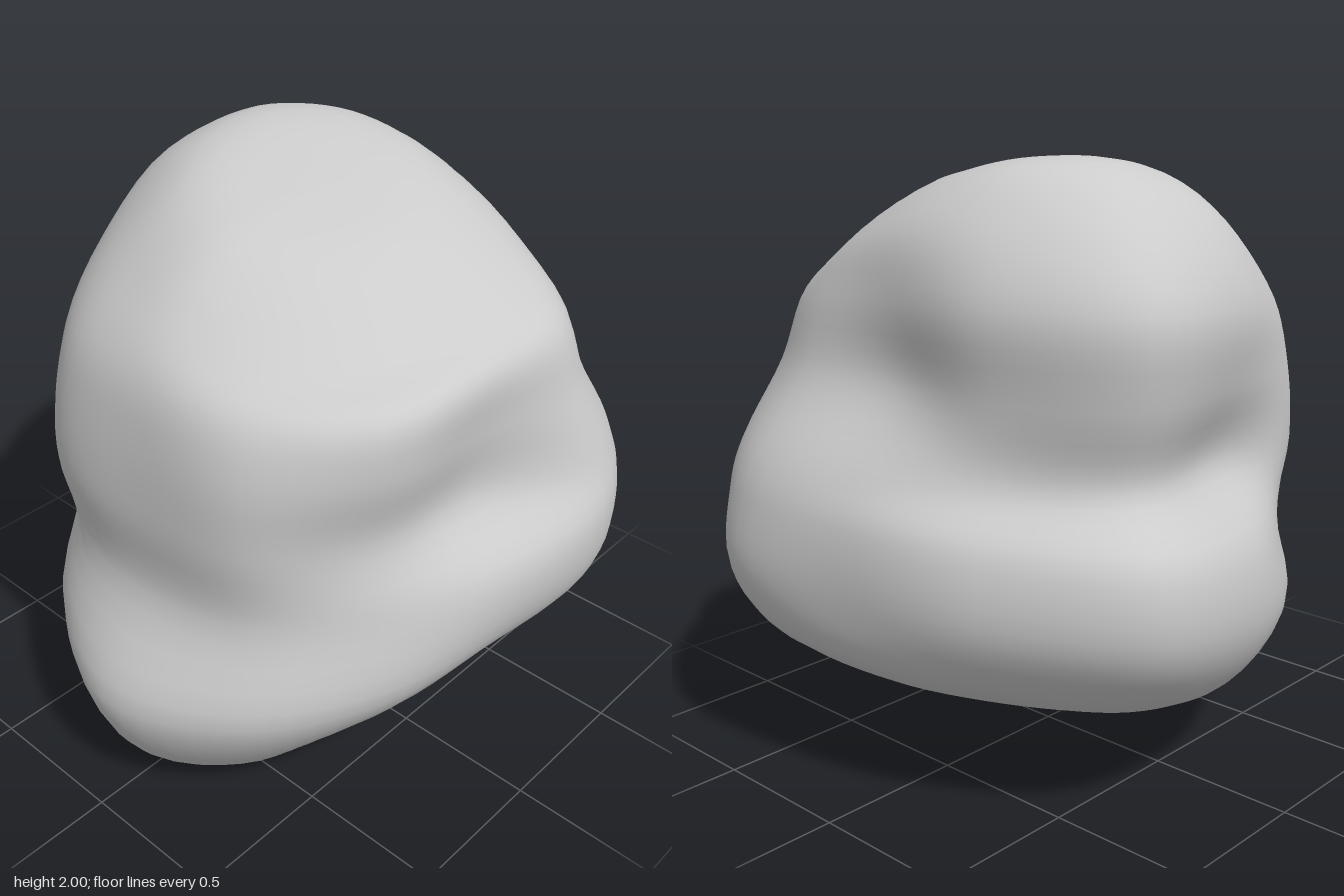
import * as THREE from 'three';

// Tilted cross-sections from bottom to top.
// Each: height at the axis, slope along x, slope along z, radii every 30 degrees (+x, then front, -x, back).
const SECTIONS = [
  [0.16, 0, -0.24, [0.22, 0.34, 0.54, 0.63, 0.4, 0.27, 0.24, 0.26, 0.34, 0.44, 0.4, 0.28]],
  [0.31, 0, -0.2, [0.54, 0.6, 0.73, 0.83, 0.66, 0.62, 0.69, 0.78, 0.79, 0.85, 0.94, 0.75]],
  [0.57, 0, -0.13, [0.83, 0.83, 0.89, 0.95, 0.87, 0.82, 0.88, 1.01, 0.94, 0.92, 1.08, 1.01]],
  [0.86, 0, -0.08, [0.87, 0.8, 0.79, 0.77, 0.79, 0.78, 0.86, 1.01, 0.92, 0.91, 1.06, 1.05]],
  [1.08, 0, 0, [0.71, 0.74, 0.81, 0.775, 0.83, 0.8, 0.69, 0.84, 0.79, 0.84, 1.01, 1.0]],
  [1.33, 0, 0, [0.73, 0.79, 0.81, 0.75, 0.8, 0.79, 0.77, 0.9, 0.78, 0.69, 0.85, 0.9]],
  [1.55, -0.03, -0.05, [0.73, 0.77, 0.75, 0.7, 0.73, 0.74, 0.8, 0.92, 0.8, 0.7, 0.77, 0.82]],
  [1.72, -0.17, -0.12, [0.6, 0.61, 0.61, 0.6, 0.57, 0.58, 0.66, 0.71, 0.67, 0.65, 0.66, 0.66]],
  [1.88, -0.22, -0.13, [0.33, 0.31, 0.32, 0.35, 0.33, 0.35, 0.4, 0.47, 0.49, 0.46, 0.41, 0.36]],
];
const BOTTOM = new THREE.Vector3(0, 0.145, 0);
const TOP = new THREE.Vector3(0, 1.915, 0);
const AROUND = 72, UP = 50;

// One vertical spline per direction, from the bottom pole to the top pole
function makeColumns() {
  return SECTIONS[0][3].map((_, k) => {
    const a = (k * Math.PI) / 6;
    const points = SECTIONS.map(([y, sx, sz, radii]) => {
      const x = radii[k] * Math.cos(a), z = radii[k] * Math.sin(a);
      return new THREE.Vector3(x, y + sx * x + sz * z, z);
    });
    return new THREE.CatmullRomCurve3([BOTTOM, ...points, TOP]);
  });
}

// Smooth closed skin lofted through the columns
function makeRockGeometry() {
  const columns = makeColumns();
  const positions = [...BOTTOM.toArray()], index = [];
  for (let j = 1; j < UP; j++) {
    const ring = new THREE.CatmullRomCurve3(columns.map((c) => c.getPoint(j / UP)), true);
    for (let i = 0; i < AROUND; i++) positions.push(...ring.getPoint(i / AROUND).toArray());
  }
  positions.push(...TOP.toArray());

  const at = (j, i) => 1 + (j - 1) * AROUND + (i % AROUND);
  const last = positions.length / 3 - 1;
  for (let i = 0; i < AROUND; i++) {
    index.push(0, at(1, i), at(1, i + 1));
    for (let j = 1; j < UP - 1; j++) {
      const a = at(j, i), b = at(j + 1, i), c = at(j + 1, i + 1), d = at(j, i + 1);
      index.push(a, b, c, a, c, d);
    }
    index.push(at(UP - 1, i), last, at(UP - 1, i + 1));
  }
  const geometry = new THREE.BufferGeometry();
  geometry.setAttribute('position', new THREE.Float32BufferAttribute(positions, 3));
  geometry.setIndex(index);
  geometry.computeVertexNormals();
  // Rest the lowest point on the ground
  geometry.computeBoundingBox();
  geometry.translate(0, -geometry.boundingBox.min.y, 0);
  return geometry;
}

export function createModel() {
  const group = new THREE.Group();
  group.name = 'boulder';
  const rock = new THREE.Mesh(makeRockGeometry(), new THREE.MeshStandardMaterial({ color: 0xcccccc }));
  rock.name = 'rock';
  group.add(rock);
  return group;
}
